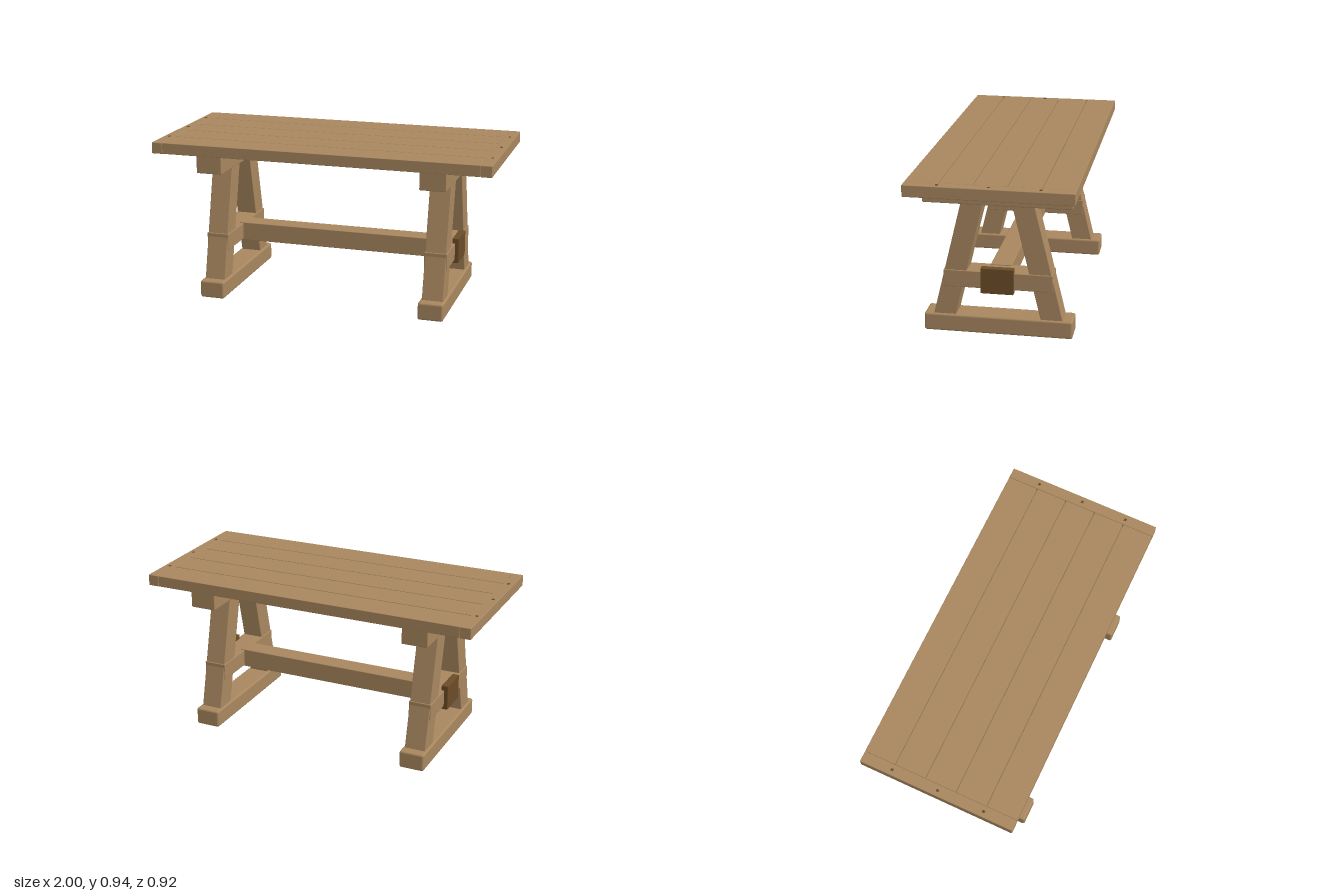
import * as THREE from 'three';
import { RoundedBoxGeometry } from 'three/addons/geometries/RoundedBoxGeometry.js';

export function createModel() {
  const table = new THREE.Group();
  table.name = 'trestleTable';

  const wood = new THREE.MeshStandardMaterial({ color: 0xa8875f });
  wood.name = 'oak wood';
  const darkWood = new THREE.MeshStandardMaterial({ color: 0x6b4c28 });
  darkWood.name = 'dark wood';

  // Softened board given by its extents along each axis
  function board(parent, name, [x0, x1], [y0, y1], [z0, z1], bevel, material = wood) {
    const geometry = new RoundedBoxGeometry(x1 - x0, y1 - y0, z1 - z0, 2, bevel);
    const mesh = new THREE.Mesh(geometry, material);
    mesh.name = name;
    mesh.position.set((x0 + x1) / 2, (y0 + y1) / 2, (z0 + z1) / 2);
    parent.add(mesh);
    return mesh;
  }

  // Table top: five planks with narrow gaps
  const top = new THREE.Group();
  top.name = 'tableTop';
  table.add(top);
  const pitch = 0.1845, plankWidth = 0.179;
  for (let i = -2; i <= 2; i++) {
    const z = i * pitch;
    // outer planks reach the full width of the top
    const z0 = i === -2 ? -0.46 : z - plankWidth / 2;
    const z1 = i === 2 ? 0.46 : z + plankWidth / 2;
    board(top, 'plank', [-0.934, 0.934], [0.872, 0.937], [z0, z1], 0.003);
  }

  // Sloping leg: a square post sheared so it leans towards the middle
  function leg(parent, side) {
    const y0 = 0.09, y1 = 0.78, slope = -0.2424;
    const mesh = board(parent, 'leg', [-0.062, 0.062], [y0, y1], [-0.0625, 0.0625], 0.004);
    const shear = new THREE.Matrix4().set(
      1, 0, 0, 0,
      0, 1, 0, 0,
      0, slope * side, 1, 0,
      0, 0, 0, 1
    );
    mesh.geometry.applyMatrix4(shear);
    mesh.position.z = side * (0.3025 + slope * ((y0 + y1) / 2 - 0.103));
  }

  for (const side of [-1, 1]) {
    // Breadboard end with three pegs
    const end = new THREE.Group();
    end.name = 'breadboardEnd';
    end.position.x = side * 0.967;
    table.add(end);
    board(end, 'endBoard', [-0.032, 0.033], [0.871, 0.937], [-0.46, 0.46], 0.004);
    for (const z of [-0.277, 0, 0.277]) {
      board(end, 'peg', [-0.007, 0.007], [0.92, 0.94], [z - 0.008, z + 0.008], 0.002, darkWood);
    }

    // Trestle: foot, two legs, crosspiece and bearer
    const trestle = new THREE.Group();
    trestle.name = 'trestle';
    trestle.position.x = side * 0.664;
    table.add(trestle);
    board(trestle, 'foot', [-0.074, 0.074], [0, 0.103], [-0.42, 0.42], 0.012);
    board(trestle, 'bearer', [-0.077, 0.077], [0.76, 0.872], [-0.415, 0.415], 0.005);
    board(trestle, 'crosspiece', [-0.067, 0.067], [0.27, 0.369], [-0.306, 0.306], 0.004);
    leg(trestle, 1);
    leg(trestle, -1);

    // Dark block on the outside of the crosspiece
    const block = board(trestle, 'tenonBlock', [-0.02, 0.02], [0.25, 0.398], [-0.092, 0.092], 0.003, darkWood);
    block.position.x = side * 0.07;
  }

  // Long stretcher joining the trestles
  board(table, 'stretcher', [-0.62, 0.62], [0.264, 0.375], [-0.06, 0.06], 0.004);

  return table;
}
